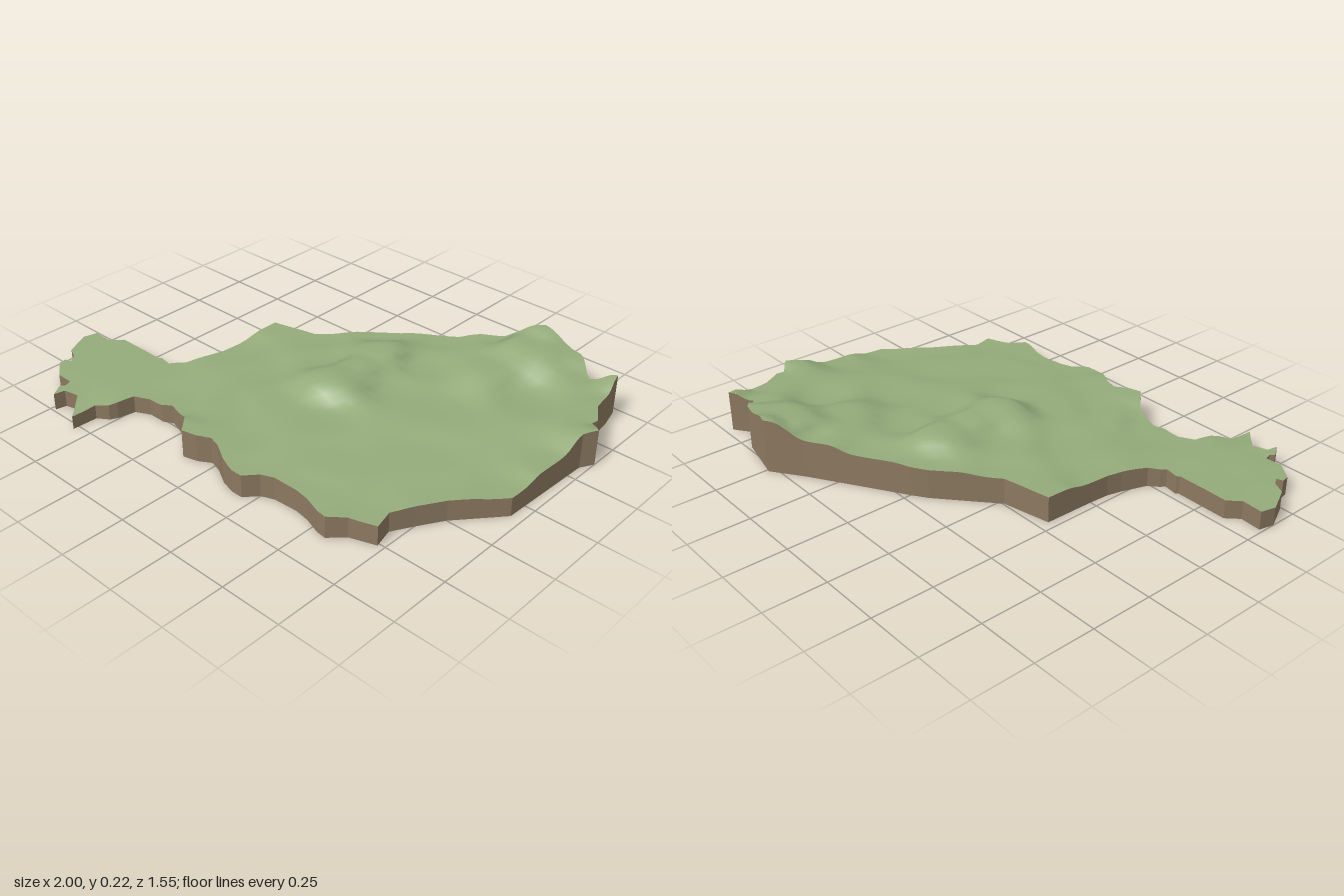
import * as THREE from 'three';

// Coastline as [x, z], clockwise seen from above
const OUTLINE = [
  [-.465, -.205], [-.27, -.245], [-.18, -.325], [-.06, -.43], [0, -.47], [.36, -.69], [.49, -.78],
  [.69, -.735], [.78, -.66], [.865, -.72], [.885, -.64], [.9, -.53], [.95, -.45], [.945, -.42],
  [1, -.375], [.97, -.32], [.955, .08], [.81, .25], [.75, .35], [.705, .43], [.725, .51],
  [.625, .545], [.57, .6], [.53, .595], [.46, .57], [.4, .56], [.3, .565], [.25, .585],
  [.205, .635], [.16, .635], [.1, .62], [.03, .58], [-.02, .565], [-.07, .595], [-.13, .61],
  [-.165, .57], [-.21, .525], [-.32, .49], [-.36, .51], [-.43, .51], [-.49, .54], [-.505, .61],
  [-.52, .64], [-.565, .67], [-.57, .775], [-.66, .68], [-.72, .695], [-.73, .74], [-.765, .685],
  [-.75, .67], [-.76, .64], [-.83, .64], [-.9, .585], [-.905, .555], [-.88, .545], [-.9, .515],
  [-.95, .49], [-.97, .45], [-1, .39], [-.985, .33], [-.9, .335], [-.855, .29], [-.64, .29],
  [-.63, .28], [-.575, .29], [-.56, .27], [-.525, .24], [-.49, .14], [-.475, .08], [-.47, 0],
];

// Spot heights as [x, z, height]
const SPOTS = [
  [-.95, .4, .075], [-.75, .5, .075], [-.57, .77, .055], [-.73, .73, .07], [-.6, .35, .075],
  [-.42, .48, .07], [-.3, .47, .08], [-.13, .6, .115], [.05, .58, .11], [.2, .62, .093],
  [.45, .56, .09], [.72, .5, .08], [.8, .25, .085], [.95, .08, .077], [.96, -.15, .1],
  [1, -.375, .15], [.95, -.44, .132], [.89, -.58, .135], [.865, -.72, .17], [.78, -.66, .145],
  [.69, -.73, .185], [.49, -.78, .222], [.45, -.65, .2], [.55, -.66, .2], [.35, -.66, .155],
  [.15, -.55, .13], [-.06, -.42, .12], [-.27, -.23, .107], [-.46, -.2, .105], [-.46, .05, .085],
  [-.25, .1, .1], [-.1, -.1, .12], [.08, .03, .182], [.09, -.09, .172], [.09, -.27, .175],
  [.26, -.1, .12], [.24, -.3, .125], [.2, .2, .11], [0, .25, .12], [.45, -.45, .165],
  [.66, -.42, .115], [.5, -.15, .115], [.6, .15, .1], [.4, .35, .1], [-.15, .4, .105],
];

// Ground height: smooth inverse-distance blend of the spot heights
function heightAt(x, z) {
  let sum = 0, total = 0;
  for (const [sx, sz, h] of SPOTS) {
    const w = 1 / ((x - sx) ** 2 + (z - sz) ** 2 + 0.0008) ** 1.8;
    sum += w * h;
    total += w;
  }
  return sum / total;
}

function normalAt(x, z) {
  const e = 0.008;
  return new THREE.Vector3(
    heightAt(x - e, z) - heightAt(x + e, z), 2 * e, heightAt(x, z - e) - heightAt(x, z + e),
  ).normalize().toArray();
}

// Keep the part of a polygon where sign * (p[axis] - limit) >= 0
function clip(poly, axis, limit, sign) {
  const out = [];
  poly.forEach((a, i) => {
    const b = poly[(i + 1) % poly.length];
    const da = sign * (a[axis] - limit), db = sign * (b[axis] - limit);
    if (da >= 0) out.push(a);
    if (da * db < 0) {
      const t = da / (da - db);
      out.push([a[0] + (b[0] - a[0]) * t, a[1] + (b[1] - a[1]) * t]);
    }
  });
  return out;
}

// Triangles of a polygon, all wound to face up (or down)
function triangles(poly, up) {
  const points = poly.map(([x, z]) => new THREE.Vector2(x, z));
  const result = [];
  for (const face of THREE.ShapeUtils.triangulateShape(points, [])) {
    const [a, b, c] = face.map((i) => poly[i]);
    const area = (b[0] - a[0]) * (c[1] - a[1]) - (b[1] - a[1]) * (c[0] - a[0]);
    if (Math.abs(area) < 1e-9) continue;
    result.push((area < 0) === up ? [a, b, c] : [a, c, b]);
  }
  return result;
}

function geometryFrom(positions, normals) {
  const g = new THREE.BufferGeometry();
  g.setAttribute('position', new THREE.Float32BufferAttribute(positions, 3));
  if (normals) g.setAttribute('normal', new THREE.Float32BufferAttribute(normals, 3));
  else g.computeVertexNormals();
  return g;
}

// Rolling ground, the outline cut into small square cells
function landGeometry() {
  const positions = [], normals = [], step = 0.04;
  for (let x = -1; x < 1; x += step) {
    const strip = clip(clip(OUTLINE, 0, x, 1), 0, x + step, -1);
    for (let z = -0.8; z < 0.8; z += step) {
      const cell = clip(clip(strip, 1, z, 1), 1, z + step, -1);
      if (cell.length < 3) continue;
      for (const [px, pz] of triangles(cell, true).flat()) {
        positions.push(px, heightAt(px, pz), pz);
        normals.push(...normalAt(px, pz));
      }
    }
  }
  return geometryFrom(positions, normals);
}

// Upright cliff from the base to the edge of the ground
function cliffGeometry() {
  const positions = [];
  OUTLINE.forEach((p, i) => {
    const q = OUTLINE[(i + 1) % OUTLINE.length];
    const n = Math.ceil(Math.hypot(q[0] - p[0], q[1] - p[1]) / 0.02);
    const at = (t) => [p[0] + (q[0] - p[0]) * t, p[1] + (q[1] - p[1]) * t];
    for (let k = 0; k < n; k++) {
      const [ax, az] = at(k / n), [bx, bz] = at((k + 1) / n);
      const ah = heightAt(ax, az), bh = heightAt(bx, bz);
      positions.push(bx, 0, bz, ax, 0, az, ax, ah, az, bx, 0, bz, ax, ah, az, bx, bh, bz);
    }
  });
  return geometryFrom(positions);
}

function baseGeometry() {
  return geometryFrom(triangles(OUTLINE, false).flat().flatMap(([x, z]) => [x, 0, z]));
}

export function createModel() {
  const grass = new THREE.MeshStandardMaterial({ color: 0x94ab7a });
  grass.name = 'grass green';
  const earth = new THREE.MeshStandardMaterial({ color: 0x8b7860 });
  earth.name = 'earth brown';

  const model = new THREE.Group();
  model.name = 'terrainSlab';
  const add = (name, geometry, material) => {
    const mesh = new THREE.Mesh(geometry, material);
    mesh.name = name;
    model.add(mesh);
  };
  add('land', landGeometry(), grass);
  add('cliff', cliffGeometry(), earth);
  add('base', baseGeometry(), earth);
  return model;
}
